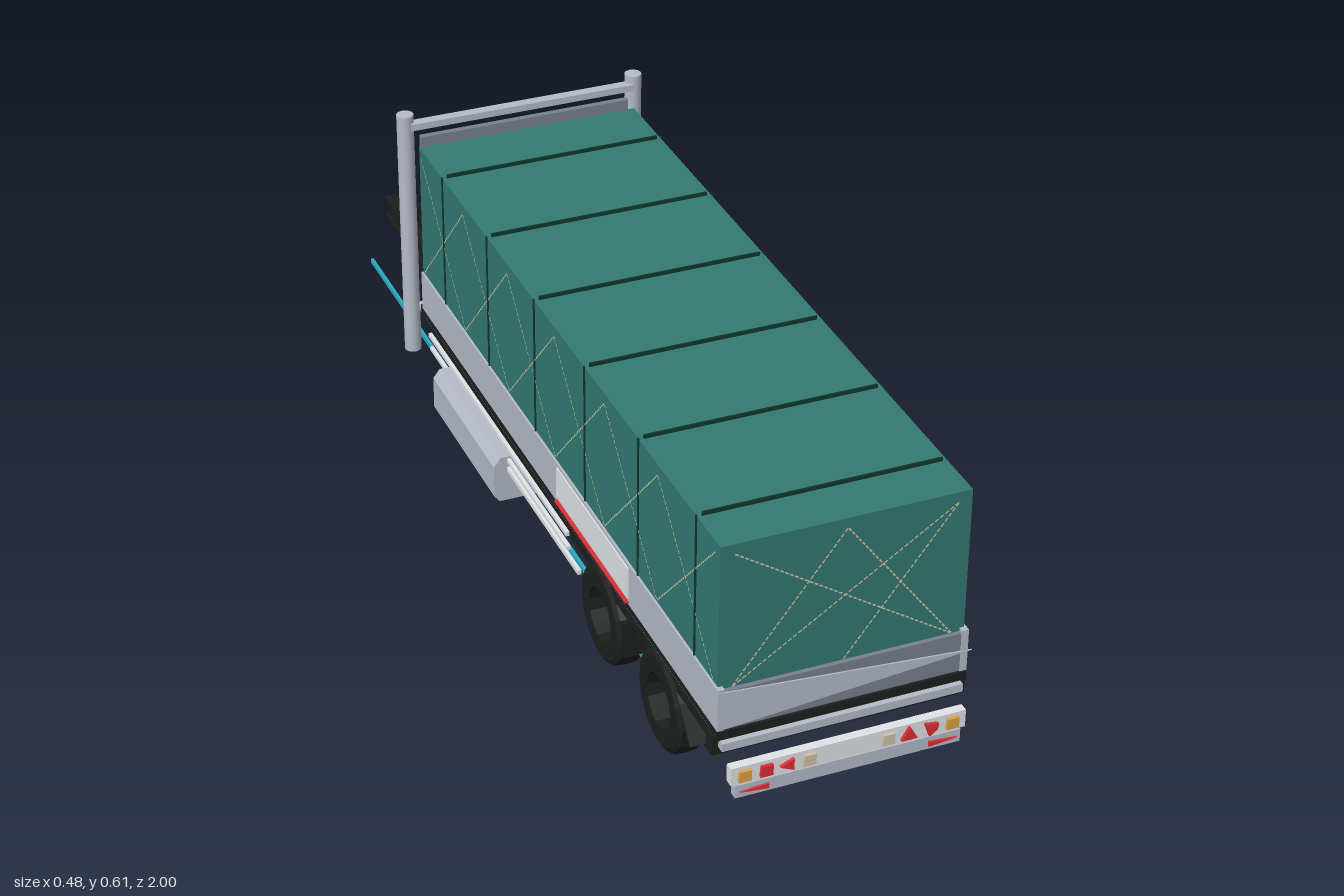
import * as THREE from 'three';

const mat = (name, color, extra = {}) => Object.assign(new THREE.MeshStandardMaterial({ color, ...extra }), { name });

export function createModel() {
  const root = new THREE.Group();
  root.name = 'flatbedTrailer';
  const M = {
    tarp: mat('tarpGreen', 0x337a72),
    strap: mat('darkGreen', 0x10382f),
    black: mat('chassisBlack', 0x1d1f1f, { flatShading: true }),
    alu: mat('aluminium', 0xb6bbc8),
    light: mat('paleGrey', 0xe2e4e8),
    slate: mat('slateGrey', 0x7a818e),
    red: mat('signalRed', 0xdc2e32),
    amber: mat('amber', 0xdca244),
    cyan: mat('cyan', 0x2aacc0, { side: THREE.DoubleSide }),
    rope: mat('ropeBeige', 0xd2c2aa, { side: THREE.DoubleSide }),
  };
  const add = (name, geo, m, x = 0, y = 0, z = 0) => {
    const mesh = new THREE.Mesh(geo, m);
    mesh.name = name;
    mesh.position.set(x, y, z);
    root.add(mesh);
    return mesh;
  };
  // box given by its limits
  const box = (name, m, x0, x1, y0, y1, z0, z1) =>
    add(name, new THREE.BoxGeometry(x1 - x0, y1 - y0, z1 - z0), m, (x0 + x1) / 2, (y0 + y1) / 2, (z0 + z1) / 2);
  // box on both sides, given by its limits on the +x side
  const pair = (name, m, x0, x1, y0, y1, z0, z1) => {
    box(name + 'Left', m, x0, x1, y0, y1, z0, z1);
    box(name + 'Right', m, -x1, -x0, y0, y1, z0, z1);
  };
  // flat polygon facing +z, with thickness
  const plate = (name, m, pts, z, depth = 0.003) =>
    add(name, new THREE.ExtrudeGeometry(new THREE.Shape(pts.map(p => new THREE.Vector2(...p))), { depth, bevelEnabled: false }), m, 0, 0, z);
  // thin bar between two points
  const bar = (name, m, a, b, t, h) => {
    const A = new THREE.Vector3(...a), B = new THREE.Vector3(...b);
    const mesh = add(name, new THREE.BoxGeometry(t, h, A.distanceTo(B)), m);
    mesh.position.copy(A).add(B).multiplyScalar(0.5);
    mesh.lookAt(B);
  };
  // flat dashed lacing; (u, y) run in a plane turned about y
  const rope = (name, u0, y0, u1, y1, place, turn) => {
    const len = Math.hypot(u1 - u0, y1 - y0), n = Math.round(len / 0.01);
    const geo = new THREE.PlaneGeometry(len / n * 0.7, 0.0028).rotateZ(Math.atan2(y1 - y0, u1 - u0)).rotateY(turn);
    for (let i = 0; i < n; i++) {
      const t = (i + 0.5) / n;
      add(name, geo, M.rope, ...place(u0 + (u1 - u0) * t, y0 + (y1 - y0) * t));
    }
  };

  // covered load
  box('tarp', M.tarp, -0.213, 0.213, 0.285, 0.557, -0.435, 0.955);
  for (let i = 0; i < 6; i++) {
    const z = 0.865 - 0.234 * i;
    box('topStrap', M.strap, -0.205, 0.205, 0.557, 0.564, z - 0.0015, z + 0.0015);
    pair('sideStrap', M.strap, 0.213, 0.2155, 0.295, 0.56, z - 0.0015, z + 0.0015);
  }

  // lacing: crosses on the sides and the front
  for (const x of [-0.2145, 0.2145]) {
    const place = (u, y) => [x, y, -u];
    for (let i = 0; i < 6; i++) {
      const u0 = -0.94 + 0.227 * i, u1 = u0 + 0.227;
      rope('sideRope', u0, 0.54, u1, 0.30, place, Math.PI / 2);
      rope('sideRope', u0, 0.30, u1, 0.54, place, Math.PI / 2);
    }
  }
  for (const [a, b] of [[0.19, -0.19], [-0.19, 0.19], [0, 0.19], [0.19, 0], [0, -0.19]])
    rope('frontRope', a, 0.54, b, 0.29, (u, y) => [u, y, 0.9565], 0);

  // drop sides and front board
  pair('dropSide', M.alu, 0.205, 0.217, 0.216, 0.295, -0.435, 0.965);
  pair('sidePlate', M.light, 0.217, 0.2195, 0.229, 0.289, 0.275, 0.6);
  pair('redLedge', M.red, 0.215, 0.2235, 0.22, 0.2225, 0.275, 0.6);
  box('frontBoard', M.slate, -0.205, 0.205, 0.216, 0.289, 0.95, 0.963);
  plate('frontBoardWedge', M.alu, [[-0.217, 0.29], [-0.217, 0.217], [0.225, 0.254]], 0.963);

  // deck and its bearers
  box('deck', M.black, -0.215, 0.215, 0.2, 0.216, -0.45, 0.968);
  pair('deckEdge', M.alu, 0.2, 0.21, 0.19, 0.2, -0.44, 0.95);
  pair('sideBeam', M.black, 0.19, 0.204, 0.157, 0.19, -0.44, 0.93);
  for (let i = 0; i < 12; i++) {
    const z = -0.42 + i * 0.118;
    box('crossBearer', M.black, -0.2, 0.2, 0.15, 0.19, z - 0.007, z + 0.007);
  }
  box('rearCrossBeam', M.black, -0.221, 0.221, 0.163, 0.2, 0.93, 0.955);
  box('rearTrim', M.alu, -0.21, 0.21, 0.178, 0.193, 0.955, 0.97);
  box('couplingPlate', M.black, -0.17, 0.17, 0.147, 0.155, -0.5, -0.2);
  box('frontCrossBeam', M.black, -0.175, 0.17, 0.147, 0.19, -0.5, -0.455);

  // chassis rails with flanges, and the drawbar ladder
  pair('railWeb', M.black, 0.092, 0.1, 0.105, 0.148, -1, 0.88);
  pair('railTopFlange', M.black, 0.084, 0.106, 0.142, 0.148, -1, 0.88);
  pair('railBottomFlange', M.black, 0.084, 0.106, 0.105, 0.111, -1, 0.88);
  for (const z of [-0.945, -0.69, -0.3, 0.1, 0.58, 0.86])
    box('crossMember', M.black, -0.094, 0.094, 0.11, 0.145, z - 0.004, z + 0.004);
  for (const s of [-1, 1])
    bar('drawbarBrace', M.black, [0, 0.128, -0.69], [s * 0.09, 0.128, -0.53], 0.006, 0.03);

  // headboard between two posts
  for (const s of [-1, 1]) add('headboardPost', new THREE.CylinderGeometry(0.016, 0.016, 0.5, 16), M.alu, s * 0.226, 0.36, -0.473);
  box('headboardTopRail', M.alu, -0.22, 0.22, 0.582, 0.595, -0.475, -0.455);
  box('headboardPanel', M.slate, -0.205, 0.205, 0.205, 0.572, -0.456, -0.444);
  box('headboardLowerRail', M.alu, -0.215, 0.215, 0.2, 0.212, -0.468, -0.45);

  // tyres: open rings in twin pairs on two axles
  const ring = [[0.05, -0.025], [0.081, -0.026], [0.09, -0.02], [0.092, 0], [0.09, 0.02], [0.081, 0.026], [0.05, 0.025], [0.05, -0.025]];
  const tyreGeo = new THREE.LatheGeometry(ring.map(p => new THREE.Vector2(...p)), 14).rotateZ(Math.PI / 2);
  const axleGeo = new THREE.CylinderGeometry(0.01, 0.01, 0.3, 10).rotateZ(Math.PI / 2);
  for (const z of [0.71, 0.45]) {
    for (const x of [-0.184, -0.126, 0.126, 0.184]) add('tyre', tyreGeo, M.black, x, 0.094, z);
    add('axle', axleGeo, M.alu, 0, 0.095, z);
  }
  pair('mudguard', M.black, 0.1, 0.221, 0.096, 0.165, 0.578, 0.582);
  for (const s of [-1, 1])
    bar('mudFlap', M.black, [s * 0.16, 0.16, 0.81], [s * 0.16, 0.105, 0.855], 0.11, 0.004);

  // chamfered side lockers: side, inner x, z from, z to
  for (const [s, inner, z0, z1] of [[1, 0.13, -0.185, 0.065], [-1, 0.15, -0.33, 0]]) {
    const p = [[inner, 0.05], [0.225, 0.05], [0.235, 0.062], [0.235, 0.125], [0.222, 0.142], [inner, 0.142]];
    plate('sideLocker', M.alu, p.map(([x, y]) => [s * x, y]), z0, z1 - z0);
  }

  // side guards and long cyan strips
  pair('lowerGuard', M.light, 0.203, 0.21, 0.111, 0.12, -0.3, 0.35);
  pair('middleGuard', M.light, 0.203, 0.21, 0.131, 0.138, -0.42, 0.3);
  pair('upperGuard', M.light, 0.205, 0.212, 0.16, 0.168, -0.42, 0.3);
  pair('cyanStrip', M.cyan, 0.169, 0.175, 0.065, 0.074, -0.89, 0.75);

  // light bar
  box('lightBar', M.light, -0.205, 0.205, 0.127, 0.16, 0.978, 0.994);
  box('underrunBar', M.alu, -0.197, 0.197, 0.1, 0.124, 0.978, 0.994);
  const lampSquare = [[-0.011, -0.01], [0.011, -0.01], [0.011, 0.01], [-0.009, 0.01]];
  const lamps = [
    ['amberLamp', M.amber, -0.182, lampSquare], ['amberLamp', M.amber, 0.18, lampSquare],
    ['redLamp', M.red, -0.145, lampSquare], ['clearLamp', M.rope, -0.071, lampSquare], ['clearLamp', M.rope, 0.067, lampSquare],
    ['redReflector', M.red, -0.109, [[-0.013, 0], [0.011, -0.011], [0.011, 0.011]]],
    ['redReflector', M.red, 0.104, [[-0.015, -0.01], [0.014, -0.01], [0, 0.015]]],
    ['redLamp', M.red, 0.142, [[-0.003, -0.014], [0.011, -0.003], [0.013, 0.008], [-0.012, 0.012]]],
  ];
  for (const [name, m, x, pts] of lamps) plate(name, m, pts.map(([u, v]) => [x + u, v + 0.143]), 0.994, 0.006);
  for (const s of [-1, 1])
    plate('redArrow', M.red, [[s * 0.19, 0.112], [s * 0.14, 0.107], [s * 0.14, 0.116]], 0.994, 0.004);

  return root;
}
